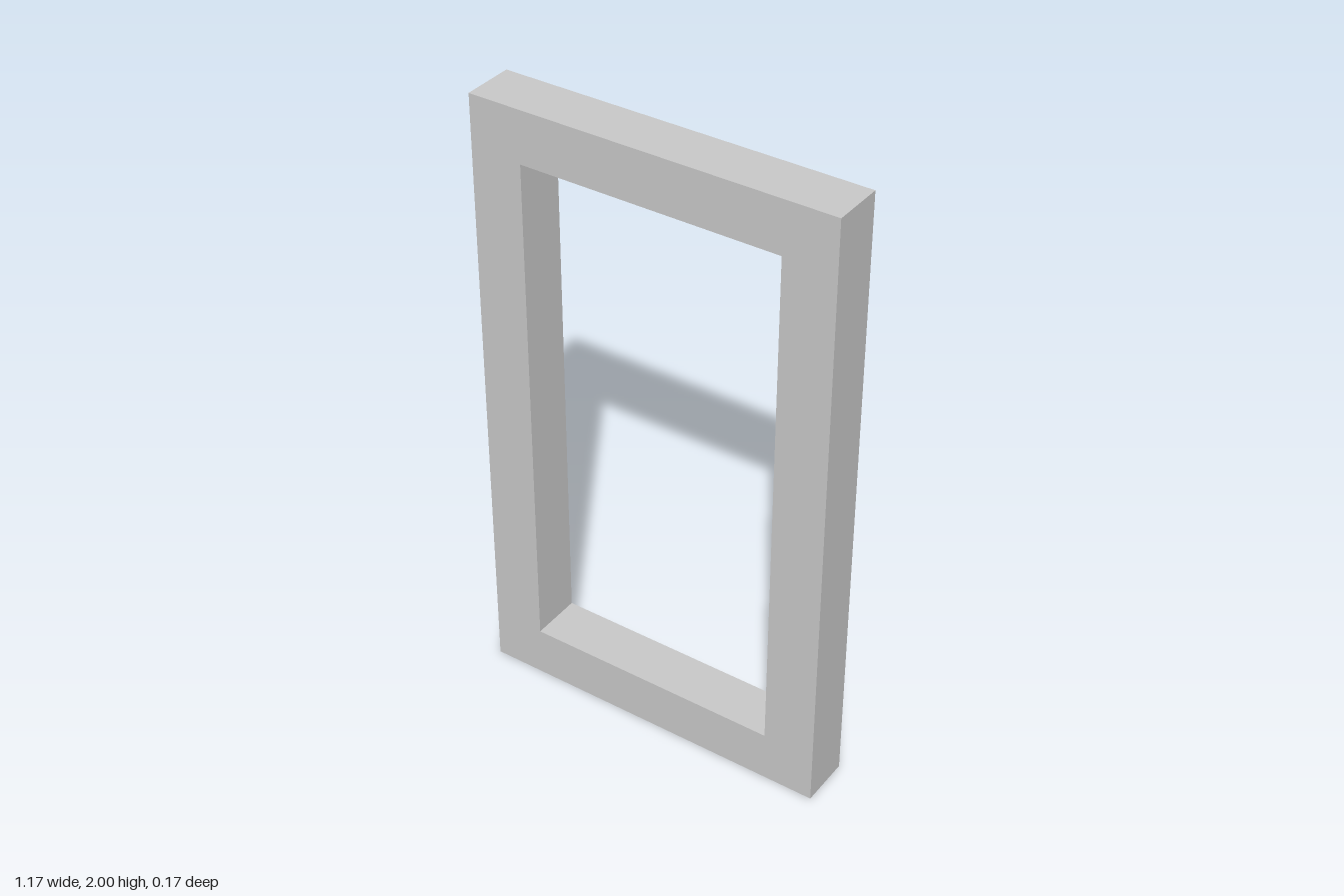
import * as THREE from 'three';

const BAR = 1 / 6; // thickness of the frame bars, also its depth
const HEIGHT = 2;
const WIDTH = 7 * BAR;

// Corner points of a rectangle centred on x = 0
function rectangle(width, bottom, top) {
  const w = width / 2;
  return [
    new THREE.Vector2(-w, bottom),
    new THREE.Vector2(w, bottom),
    new THREE.Vector2(w, top),
    new THREE.Vector2(-w, top),
  ];
}

export function createModel() {
  const group = new THREE.Group();
  group.name = 'rectangularFrame';

  // Outer outline with the opening cut through it
  const outline = new THREE.Shape(rectangle(WIDTH, 0, HEIGHT));
  outline.holes.push(new THREE.Path(rectangle(WIDTH - 2 * BAR, BAR, HEIGHT - BAR)));

  const geometry = new THREE.ExtrudeGeometry(outline, { depth: BAR, bevelEnabled: false });
  geometry.translate(0, 0, -BAR / 2);

  const frame = new THREE.Mesh(
    geometry,
    new THREE.MeshStandardMaterial({ color: 0xcccccc, flatShading: true })
  );
  frame.name = 'frame';
  group.add(frame);
  return group;
}
